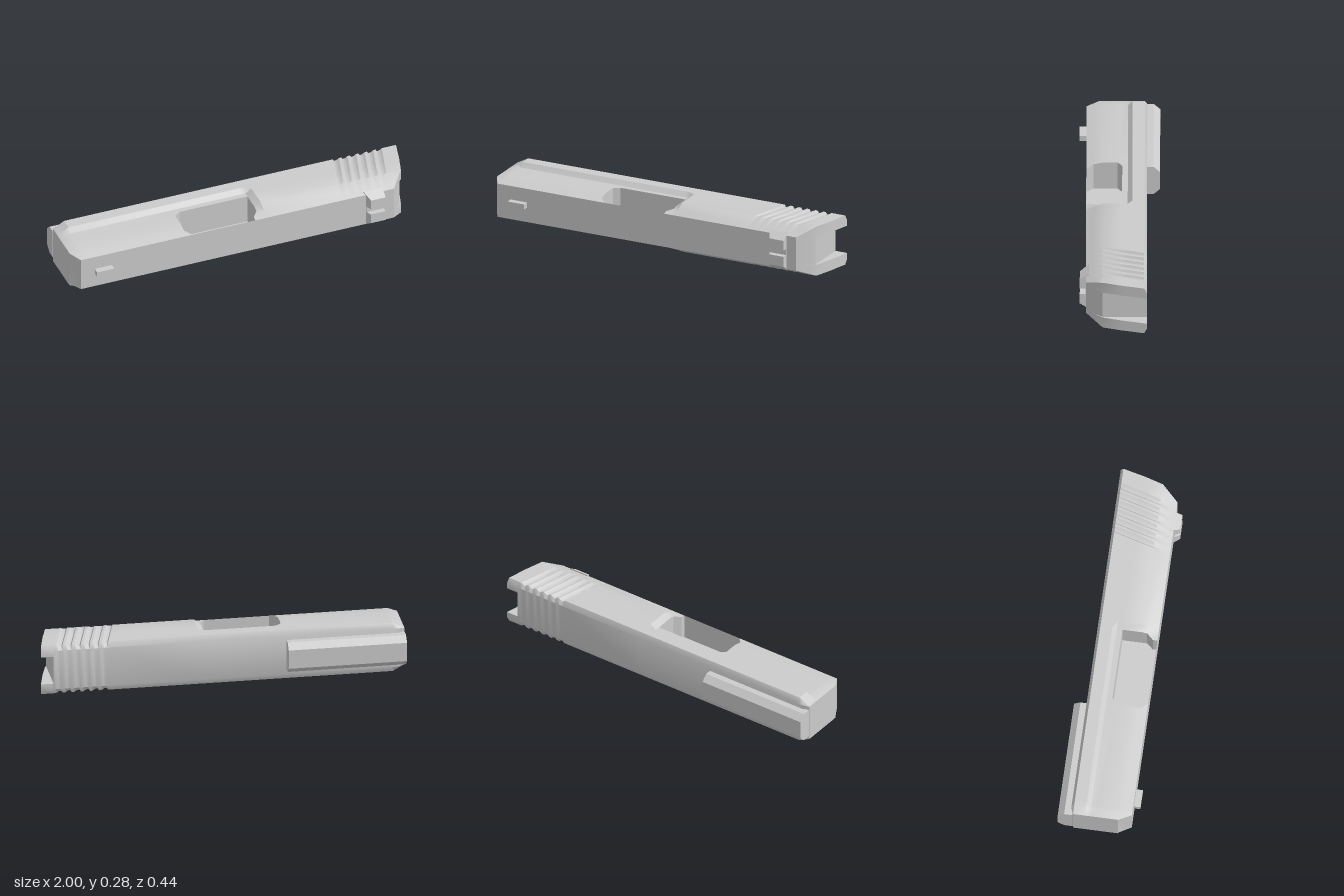
import * as THREE from 'three';
import { toCreasedNormals } from 'three/addons/utils/BufferGeometryUtils.js';

const mat = new THREE.MeshStandardMaterial({ color: 0xcccccc, side: THREE.DoubleSide });
const MIRROR = 0.286; // bottom y = MIRROR - top y
const FLOOR = 0.095; // floor of the side opening

// slanted rear face: furthest x allowed at a given z
const rearX = z => z < 0.08 ? 1 - (z + 0.15) * 0.239 : 0.945 - (z - 0.08) * 0.85;

// height of the upper side at z; r = 1 in the narrower forward part, 0 at the rear
function topY(z, r) {
  const full = [[-0.15, 0.255], [-0.135, 0.285], [-0.07, 0.285], [-0.045, 0.285 - 0.024 * r],
    [0.09, 0.285 - 0.024 * r], [0.18, 0.239]];
  for (let i = 1; i < full.length; i++) {
    const [z0, y0] = full[i - 1], [z1, y1] = full[i];
    if (z <= z1) return y0 + (y1 - y0) * (z - z0) / (z1 - z0);
  }
  return 0.239;
}

// one cross-section: matching upper and lower rows of points
function section({ x, r = 0, z1 = -0.015, z2 = 0.14, open = false, groove = 0, shear = 0, tip = 0, part = 'all' }) {
  const rows = [[-0.15], [-0.135], [-0.07], [-0.045], [z1], [z1, 1], [0.09, 1], [z2, 1], [z2], [0.18]];
  const top = [], bottom = [];
  for (const [z, inside] of rows) {
    const px = Math.min(x - shear * z, rearX(z));
    const cut = z > -0.14 && z < 0.08 ? groove : z < 0.1 && z > 0 ? groove * 0.4 : 0;
    const y = Math.min(topY(z, r) - cut, 0.285 - 0.035 * tip);
    const pz = tip === 1 ? Math.max(Math.min(z, 0.11), -0.135) : z;
    let up = inside && open ? FLOOR : y, low = MIRROR - y;
    if (part === 'upper') low = 0.222;
    if (part === 'lower') up = MIRROR - 0.222;
    top.push(new THREE.Vector3(px, up, pz));
    bottom.push(new THREE.Vector3(px, low, pz));
  }
  return { top, bottom };
}

// skin a row of cross-sections and close both ends
function loft(stations) {
  const secs = stations.map(section), pos = [];
  const tri = (a, b, c) => {
    const n = b.clone().sub(a).cross(c.clone().sub(a));
    if (n.length() > 1e-8) for (const p of [a, b, c]) pos.push(p.x, p.y, p.z);
  };
  const quad = (a, b, c, d) => { tri(a, b, c); tri(a, c, d); };
  const rings = secs.map(s => [...s.top, ...[...s.bottom].reverse()]);
  for (let k = 1; k < rings.length; k++) {
    const a = rings[k - 1], b = rings[k], n = a.length;
    for (let i = 0; i < n; i++) quad(a[i], a[(i + 1) % n], b[(i + 1) % n], b[i]);
  }
  const first = secs[0], last = secs[secs.length - 1];
  for (let i = 0; i < first.top.length - 1; i++) {
    quad(first.bottom[i], first.bottom[i + 1], first.top[i + 1], first.top[i]);
    quad(last.top[i], last.top[i + 1], last.bottom[i + 1], last.bottom[i]);
  }
  const g = new THREE.BufferGeometry();
  g.setAttribute('position', new THREE.Float32BufferAttribute(pos, 3));
  return toCreasedNormals(g, 0.5);
}

// prism along x from a (z, y) outline
function prism(outline, x0, x1) {
  const shape = new THREE.Shape(outline.map(([z, y]) => new THREE.Vector2(-z, y)));
  const g = new THREE.ExtrudeGeometry(shape, { depth: x1 - x0, bevelEnabled: false });
  return g.rotateY(Math.PI / 2).translate(x0, 0, 0);
}

export function createModel() {
  const model = new THREE.Group();
  const add = (name, geometry) => {
    const m = new THREE.Mesh(geometry, mat);
    m.name = name;
    model.add(m);
    return m;
  };

  // main body: chamfered nose, side opening, wider rear
  const stations = [
    { x: -1, r: 1, tip: 1 },
    { x: -0.96, r: 1, tip: 0.4 },
    { x: -0.935, r: 1 },
    { x: -0.345, r: 1, z1: 0.01, z2: 0.14 },
    { x: -0.345, r: 1, z1: 0.01, z2: 0.14, open: true },
    { x: -0.31, r: 1, z2: 0.18, open: true },
    { x: 0.055, r: 1, z2: 0.18, open: true },
    { x: 0.055, r: 1, z2: 0.155, open: true },
    { x: 0.085, r: 1, z2: 0.12, open: true },
    { x: 0.085, r: 1, z2: 0.12 },
    { x: 0.12 },
  ];
  // slanted saw-tooth grip grooves
  for (let i = 0; i < 6; i++) {
    const x = 0.59 + i * 0.05, shear = 0.28;
    stations.push({ x, shear }, { x: x + 0.008, shear, groove: 0.012 },
      { x: x + 0.022, shear, groove: 0.01 }, { x: x + 0.036, shear });
  }
  stations.push({ x: 0.93 });
  add('body', loft(stations));

  // two prongs either side of the rear notch
  for (const part of ['upper', 'lower'])
    add(part + 'RearProng', loft([{ x: 0.93, part }, { x: 1.1, part }]));

  // tunnel block on the back
  add('springTunnel', prism([[-0.14, 0.057], [-0.185, 0.057], [-0.22, 0.09], [-0.22, 0.197],
    [-0.185, 0.23], [-0.14, 0.23]], -1, -0.35));

  // front sight
  add('frontSight', new THREE.BoxGeometry(0.1, 0.03, 0.045)).position.set(-0.83, 0.146, 0.1935);

  // notched rear sight, tapering towards its outer face
  const sight = prism([[0.165, 0.037], [0.165, 0.253], [0.214, 0.22], [0.214, 0.163], [0.184, 0.163],
    [0.184, 0.128], [0.214, 0.128], [0.214, 0.07]], 0.69, 0.8);
  const p = sight.attributes.position;
  for (let i = 0; i < p.count; i++)
    if (p.getX(i) < 0.75) p.setX(i, 0.69 + (p.getZ(i) - 0.165) * 0.5);
  sight.computeVertexNormals();
  add('rearSight', sight);

  // aiming dot
  const dot = add('sightDot', new THREE.CircleGeometry(0.008, 20).rotateY(Math.PI / 2));
  dot.position.set(0.801, 0.114, 0.202);

  return model;
}
